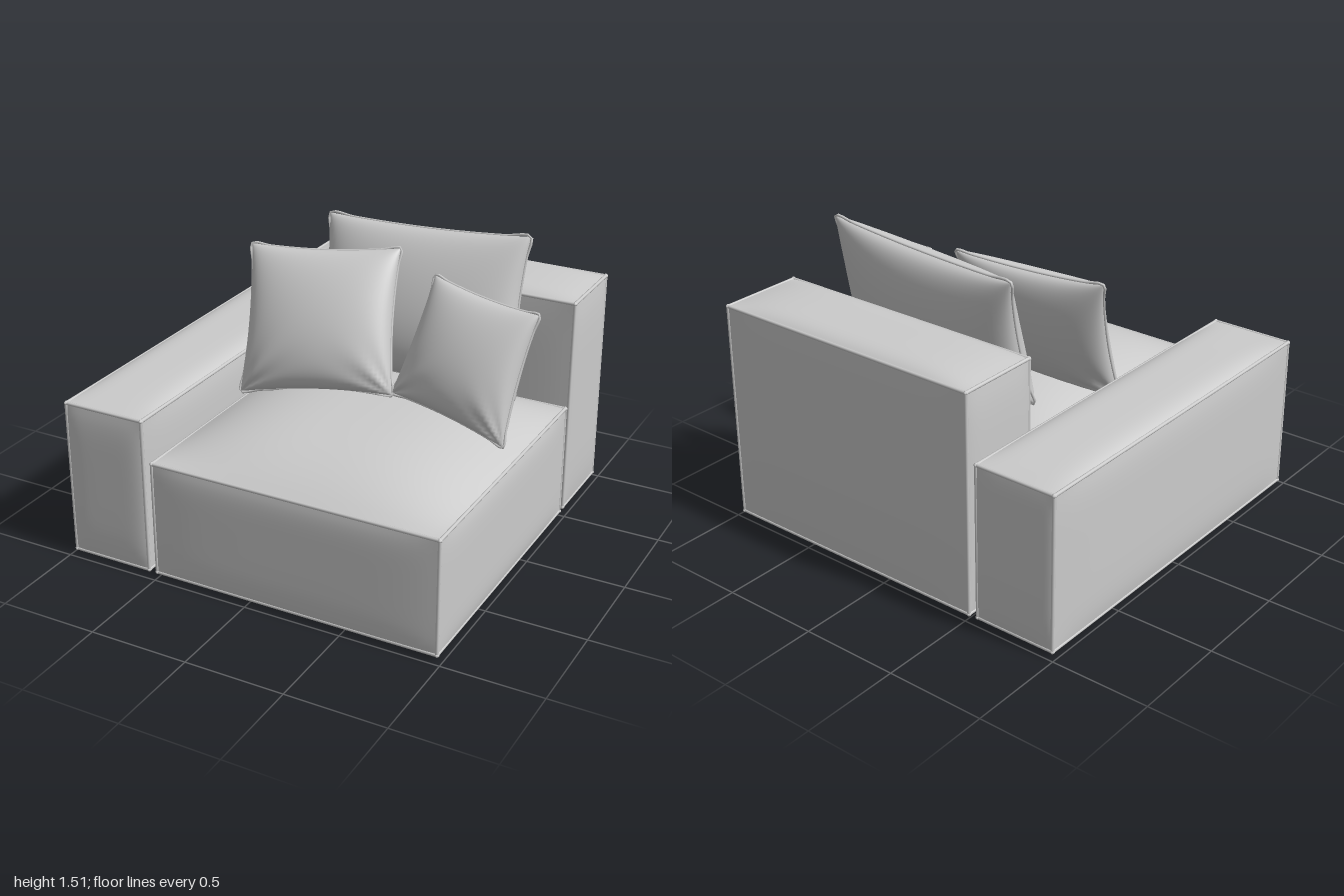
import * as THREE from 'three';
import { mergeGeometries, mergeVertices } from 'three/addons/utils/BufferGeometryUtils.js';

const fabric = new THREE.MeshStandardMaterial({ color: 0xcccccc });
const black = new THREE.MeshStandardMaterial({ color: 0x151515 });
const V = (x, y, z) => new THREE.Vector3(x, y, z);

function add(parent, name, geometry, material = fabric) {
  const mesh = new THREE.Mesh(geometry, material);
  mesh.name = name;
  parent.add(mesh);
  return mesh;
}

// Upholstered block: a box whose faces swell between welted edges
function block(name, min, max, crown, crownPower) {
  const group = new THREE.Group();
  group.name = name;
  const size = max.clone().sub(min), centre = min.clone().add(max).multiplyScalar(0.5);
  const geo = new THREE.BoxGeometry(size.x, size.y, size.z, 28, 20, 28);
  const pos = geo.attributes.position, nor = geo.attributes.normal;
  const swell = (t, p) => 1 - Math.pow(Math.min(1, Math.abs(t)), p);
  for (let i = 0; i < pos.count; i++) {
    const p = V(0, 0, 0).fromBufferAttribute(pos, i);
    const n = V(0, 0, 0).fromBufferAttribute(nor, i);
    const top = n.y > 0.5, power = top ? crownPower : 6;
    const amount = top ? crown : n.y < -0.5 ? 0 : 0.014;
    let s = amount;
    for (const a of ['x', 'y', 'z']) {
      if (Math.abs(n[a]) < 0.5) s *= swell(p[a] / (size[a] / 2), power);
    }
    p.addScaledVector(n, s).add(centre);
    pos.setXYZ(i, p.x, p.y, p.z);
  }
  geo.computeVertexNormals();
  add(group, name + 'Cushion', geo);

  // Welt along all twelve edges
  const welts = [], r = 0.009;
  for (const a of ['x', 'y', 'z']) {
    const [b, c] = ['x', 'y', 'z'].filter(k => k !== a);
    for (const sb of [-1, 1]) for (const sc of [-1, 1]) {
      const g = new THREE.CapsuleGeometry(r, size[a], 3, 8);
      if (a === 'x') g.rotateZ(Math.PI / 2);
      if (a === 'z') g.rotateX(Math.PI / 2);
      const o = centre.clone();
      o[b] += sb * (size[b] / 2 - 0.003);
      o[c] += sc * (size[c] / 2 - 0.003);
      welts.push(g.translate(o.x, o.y, o.z));
    }
  }
  add(group, name + 'Welt', mergeGeometries(welts));
  return group;
}

// Pillow stretched between corners (top left, top right, bottom right, bottom left)
function pillow(name, [tl, tr, br, bl], half, pinch) {
  const group = new THREE.Group();
  group.name = name;
  const normal = br.clone().sub(tl).cross(tr.clone().sub(bl)).normalize();
  const sheet = (u, v) => {
    const x = (u * (1 - pinch * (1 - v * v)) + 1) / 2;
    const y = (v * (1 - pinch * (1 - u * u)) + 1) / 2;
    return bl.clone().lerp(br, x).lerp(tl.clone().lerp(tr, x), y);
  };
  const n = 36, sides = [];
  for (const side of [1, -1]) {
    const geo = new THREE.PlaneGeometry(2, 2, n, n);
    const pos = geo.attributes.position;
    for (let i = 0; i < pos.count; i++) {
      // Sine spacing packs rows near the rounded rim
      const u = Math.sin(pos.getX(i) * Math.PI / 2), v = Math.sin(pos.getY(i) * Math.PI / 2);
      const rim = Math.max(0, (1 - u * u) * (1 - v * v));
      // Soft creases fan out of the lower corners
      const near = Math.exp(-5 * Math.hypot(1 - Math.abs(u), 1 + v));
      const crease = 0.03 * near * Math.sin(9 * Math.atan2(1 + v, 1 - Math.abs(u)));
      const t = half * Math.pow(rim, 0.42) * (1 - 0.14 * v) + crease * Math.sqrt(rim) * 3;
      const p = sheet(u, v).addScaledVector(normal, side * t);
      pos.setXYZ(i, p.x, p.y, p.z);
    }
    if (side < 0) {
      const idx = geo.index.array;
      for (let i = 0; i < idx.length; i += 3) [idx[i], idx[i + 1]] = [idx[i + 1], idx[i]];
    }
    geo.deleteAttribute('uv');
    geo.deleteAttribute('normal');
    sides.push(geo);
  }
  const shell = mergeVertices(mergeGeometries(sides), 1e-5);
  shell.computeVertexNormals();
  add(group, name + 'Cover', shell);

  // Seam round the rim
  const rimPoints = [];
  const corners = [[-1, 1], [1, 1], [1, -1], [-1, -1]];
  corners.forEach(([u, v], k) => {
    const [u2, v2] = corners[(k + 1) % 4];
    for (let i = 0; i < 8; i++) rimPoints.push(sheet(u + (u2 - u) * i / 8, v + (v2 - v) * i / 8));
  });
  const curve = new THREE.CatmullRomCurve3(rimPoints, true, 'centripetal');
  add(group, name + 'Seam', new THREE.TubeGeometry(curve, 128, 0.007, 6, true));
  return group;
}

export function createModel() {
  const model = new THREE.Group();
  model.name = 'cornerArmchair';

  // Base modules
  model.add(
    block('armrest', V(-0.98, 0.025, -0.975), V(-0.55, 0.82, 0.97), 0.028, 5),
    block('seat', V(-0.508, 0.025, -0.498), V(0.974, 0.612, 0.97), 0.147, 3),
    block('backrest', V(-0.508, 0.025, -0.98), V(0.974, 1.155, -0.54), 0.034, 5)
  );

  // Loose pillows
  model.add(
    pillow('backPillow', [V(-0.33, 1.44, -0.45), V(0.77, 1.5, -0.43),
      V(0.80, 0.73, -0.23), V(-0.29, 0.73, -0.22)], 0.165, 0.05),
    pillow('leftThrowPillow', [V(-0.56, 1.36, -0.06), V(0.18, 1.405, -0.23),
      V(0.29, 0.765, 0.07), V(-0.49, 0.67, 0.2)], 0.135, 0.06),
    pillow('rightThrowPillow', [V(0.4, 1.33, -0.16), V(0.975, 1.27, -0.06),
      V(0.92, 0.685, 0.18), V(0.285, 0.775, 0.06)], 0.125, 0.06)
  );

  // Feet
  for (const x of [-0.76, 0.86]) for (const z of [-0.75, 0.79]) {
    add(model, 'foot', new THREE.CylinderGeometry(0.038, 0.038, 0.03, 24), black).position.set(x, 0.015, z);
  }
  return model;
}
